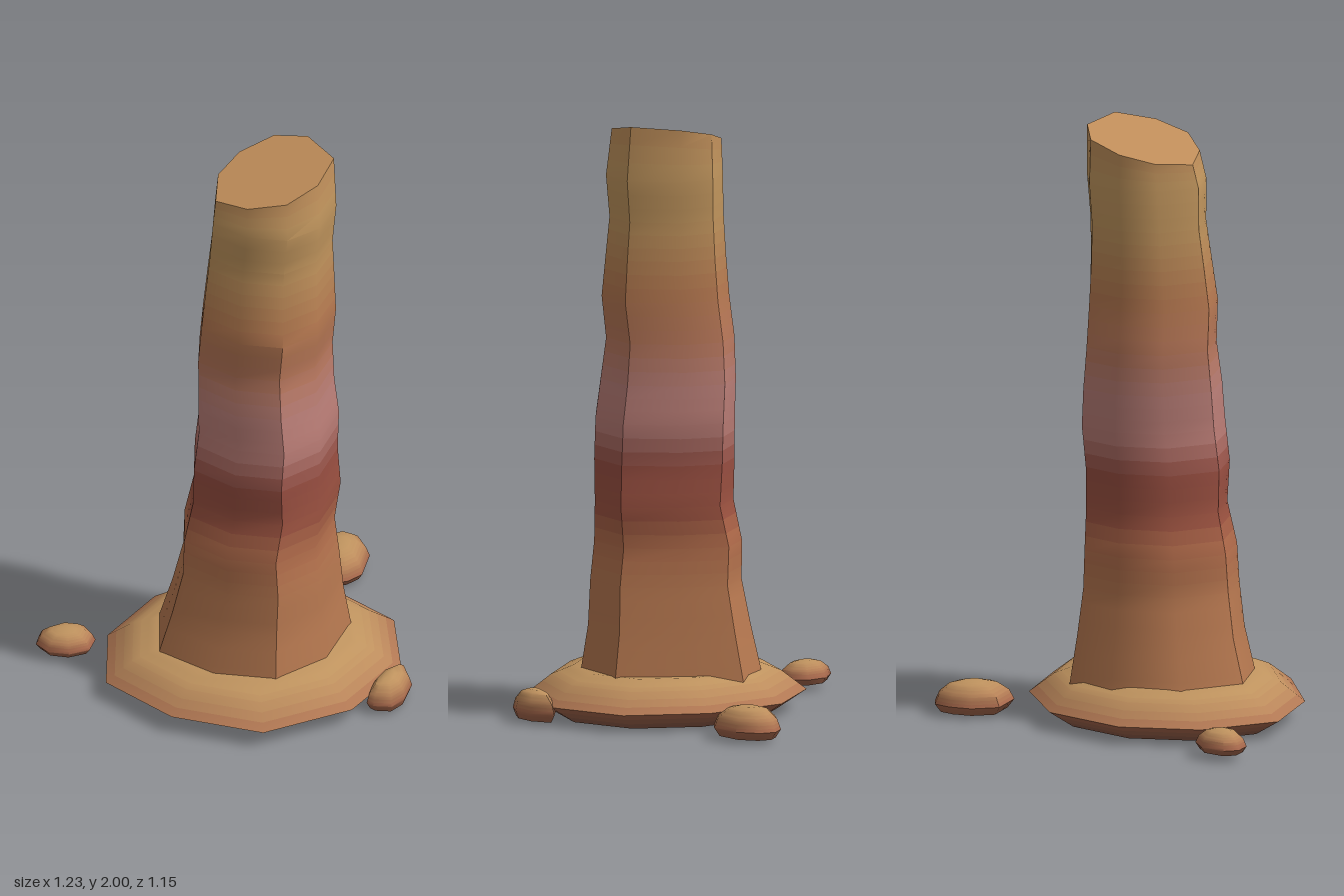
import * as THREE from 'three';
import { toCreasedNormals } from 'three/addons/utils/BufferGeometryUtils.js';

// Colour at a height, blended between [height, colour] stops
function colorAt(stops, y) {
  let i = 0;
  while (i < stops.length - 2 && y > stops[i + 1][0]) i++;
  const [y0, c0] = stops[i], [y1, c1] = stops[i + 1];
  return new THREE.Color(c0).lerp(new THREE.Color(c1), THREE.MathUtils.clamp((y - y0) / (y1 - y0), 0, 1));
}

const mean = (ring) => ring.reduce((s, p) => s.add(p), new THREE.Vector3()).divideScalar(ring.length);

// Closed solid through a stack of rings (bottom to top), tinted in thin strata
function stackedSolid(name, inputRings, stops, steps, crease) {
  let area = 0;
  inputRings[0].forEach((p, i, r) => {
    const q = r[(i + 1) % r.length];
    area += p.x * q.z - q.x * p.z;
  });
  const source = inputRings.map((r) => (area < 0 ? [...r].reverse() : r));
  const rings = [];
  source.forEach((ring, k) => {
    if (k === source.length - 1) return rings.push(ring);
    for (let s = 0; s < steps; s++) rings.push(ring.map((p, i) => p.clone().lerp(source[k + 1][i], s / steps)));
  });

  const pos = [], bands = [], n = rings[0].length;
  const tri = (...pts) => pts.forEach((p) => pos.push(p.x, p.y, p.z));
  const band = (y, build) => {
    const start = pos.length / 3;
    build();
    bands.push({ start, count: pos.length / 3 - start, color: colorAt(stops, y) });
  };
  const cap = (ring, up) => band(mean(ring).y, () => {
    const c = mean(ring);
    ring.forEach((p, i) => {
      const q = ring[(i + 1) % n];
      if (up) tri(c, q, p); else tri(c, p, q);
    });
  });

  cap(rings[0], false);
  for (let k = 0; k < rings.length - 1; k++) {
    const lo = rings[k], hi = rings[k + 1];
    band((mean(lo).y + mean(hi).y) / 2, () => {
      for (let i = 0; i < n; i++) {
        const j = (i + 1) % n;
        tri(lo[i], hi[i], lo[j]);
        tri(lo[j], hi[i], hi[j]);
      }
    });
  }
  cap(rings[rings.length - 1], true);

  let geo = new THREE.BufferGeometry();
  geo.setAttribute('position', new THREE.Float32BufferAttribute(pos, 3));
  geo = toCreasedNormals(geo, THREE.MathUtils.degToRad(crease));
  geo.clearGroups();
  bands.forEach((b, i) => geo.addGroup(b.start, b.count, i));
  const mesh = new THREE.Mesh(geo, bands.map((b) => new THREE.MeshStandardMaterial({ color: b.color })));
  mesh.name = name;
  return mesh;
}

// Flattened boulder shape: an outline scaled about its centre at each [scale, height]
function mound(name, outline, profile, stops, crease) {
  const flat = outline.map(([x, z]) => new THREE.Vector3(x, 0, z));
  const c = mean(flat);
  const rings = profile.map(([s, y]) => flat.map((p) => p.clone().sub(c).multiplyScalar(s).add(c).setY(y)));
  return stackedSolid(name, rings, stops, 3, crease);
}

// Column cross-sections at the foot and the summit
const FOOT = [[0.155, -0.24], [-0.03, -0.19], [-0.205, -0.02], [-0.225, 0.205], [-0.055, 0.35],
  [0.15, 0.4], [0.33, 0.29], [0.43, 0.085], [0.29, -0.1]];
const SUMMIT = [[0.19, -0.14], [0.07, -0.1], [-0.01, -0.01], [-0.03, 0.125], [0.07, 0.21],
  [0.2, 0.24], [0.31, 0.18], [0.375, 0.06], [0.3, -0.09]];

// Column extents per ledge: y, min x, max x, min z, max z
const LEDGES = [
  [0.12, -0.235, 0.43, -0.245, 0.405], [0.3, -0.18, 0.4, -0.21, 0.37], [0.45, -0.145, 0.385, -0.185, 0.36],
  [0.58, -0.14, 0.37, -0.185, 0.35], [0.72, -0.11, 0.39, -0.165, 0.325], [0.86, -0.107, 0.38, -0.17, 0.335],
  [1.0, -0.09, 0.385, -0.18, 0.325], [1.13, -0.09, 0.37, -0.18, 0.31], [1.27, -0.09, 0.365, -0.17, 0.285],
  [1.41, -0.08, 0.375, -0.155, 0.295], [1.55, -0.065, 0.37, -0.145, 0.275], [1.68, -0.05, 0.365, -0.14, 0.257],
  [1.82, -0.04, 0.377, -0.145, 0.265], [1.95, -0.03, 0.37, -0.14, 0.24],
];

// Fit an outline into the 0..1 square
function normalise(points) {
  const box = new THREE.Box2().setFromPoints(points.map(([x, z]) => new THREE.Vector2(x, z)));
  const size = box.getSize(new THREE.Vector2());
  return points.map(([x, z]) => [(x - box.min.x) / size.x, (z - box.min.y) / size.y]);
}

function createColumn() {
  const foot = normalise(FOOT), summit = normalise(SUMMIT);
  const { lerp } = THREE.MathUtils;
  const rings = LEDGES.map(([y, x0, x1, z0, z1], k) => foot.map(([u, v], i) => {
    const t = k / (LEDGES.length - 1);
    const x = lerp(x0, x1, lerp(u, summit[i][0], t));
    const z = lerp(z0, z1, lerp(v, summit[i][1], t));
    // The summit slopes down towards one side
    const top = 1.9 + 0.25 * (x + 0.03) - 0.07 * (z - 0.1);
    return new THREE.Vector3(x, k === LEDGES.length - 1 ? top : y, z);
  }));
  const strata = [[0.12, 0xb5784f], [0.45, 0xb87850], [0.6, 0xb36c4b], [0.7, 0x9e5341], [0.86, 0x9a4f42],
    [0.98, 0xba7c75], [1.12, 0xbb7f78], [1.27, 0xb9775a], [1.45, 0xb87a50], [1.68, 0xc0945c], [1.85, 0xc4985f], [2, 0xc08a58]];
  return stackedSolid('rockColumn', rings, strata, 3, 44);
}

export function createModel() {
  const model = new THREE.Group();
  model.name = 'rockSpire';
  model.add(createColumn());

  // Skirt of debris around the foot
  const dust = [[0, 0x8a5a48], [0.05, 0xa9684c], [0.09, 0xb88459], [0.14, 0xc0945f]];
  model.add(mound('debrisSkirt',
    [[0.09, -0.355], [0.38, -0.265], [0.58, -0.05], [0.58, 0.24], [0.395, 0.465],
      [0.09, 0.575], [-0.205, 0.455], [-0.405, 0.235], [-0.375, -0.045], [-0.2, -0.26]],
    [[0.8, 0], [1, 0.06], [0.82, 0.125], [0.66, 0.155]], dust, 40));

  // Loose boulders: outline, underside height, top height
  const boulders = [
    [[[-0.615, -0.04], [-0.6, -0.09], [-0.515, -0.125], [-0.44, -0.105], [-0.415, -0.05],
      [-0.44, 0.01], [-0.51, 0.03], [-0.58, 0.01]], 0.02, 0.093],
    [[[0.46, -0.58], [0.51, -0.55], [0.535, -0.47], [0.5, -0.36], [0.45, -0.325],
      [0.39, -0.315], [0.31, -0.42], [0.34, -0.51], [0.4, -0.56]], 0.01, 0.11],
    [[[0.595, 0.215], [0.61, 0.3], [0.58, 0.38], [0.53, 0.425], [0.47, 0.415],
      [0.45, 0.395], [0.47, 0.33], [0.52, 0.26]], 0.01, 0.107],
  ];
  boulders.forEach(([outline, y0, y1], i) => {
    const profile = [[0.84, 0], [1, 0.28], [0.88, 0.62], [0.6, 0.9], [0.28, 1]].map(([s, t]) => [s, y0 + (y1 - y0) * t]);
    model.add(mound(`boulder${i + 1}`, outline, profile, [[y0, 0x9c6249], [y0 + 0.03, 0xa9684c], [y1, 0xc0945f]], 50));
  });
  return model;
}
